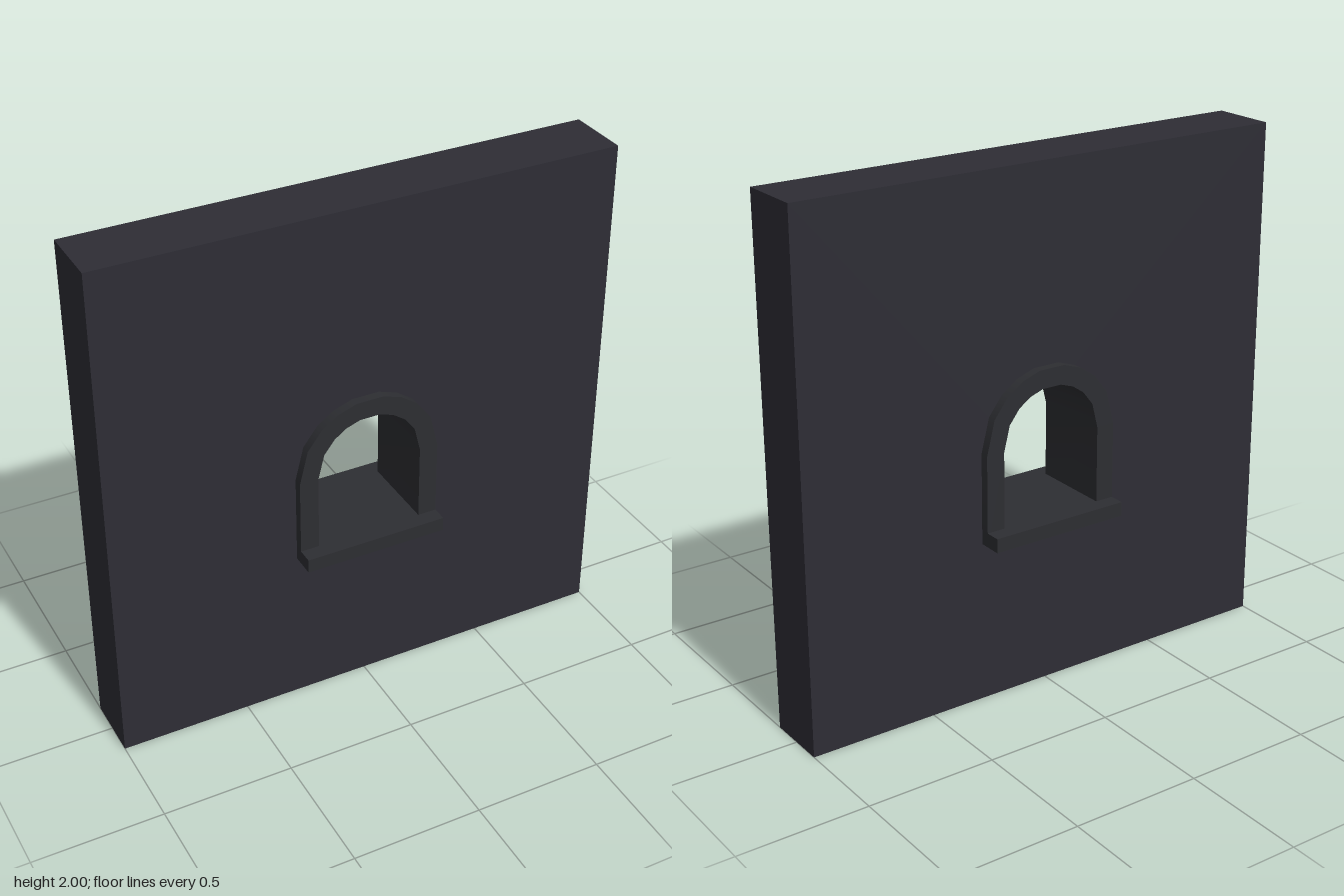
import * as THREE from 'three';
import { toCreasedNormals } from 'three/addons/utils/BufferGeometryUtils.js';

const WALL_DEPTH = 0.25, FRAME_DEPTH = 0.32, SILL_DEPTH = 0.44;
const SPRING_Y = 0.98, BASE_Y = 0.63, SILL_TOP = 0.685;
const OUTER_R = 0.28, INNER_R = 0.207;

// Round-headed outline: straight jambs below a faceted half circle
function archPoints(radius, bottom) {
  const quarter = [0, 28, 47, 63, 79];
  const angles = [...quarter, ...quarter.map((a) => 180 - a).reverse()];
  const head = angles.map((a) => {
    const t = THREE.MathUtils.degToRad(a);
    return new THREE.Vector2(radius * Math.cos(t), SPRING_Y + radius * Math.sin(t));
  });
  return [new THREE.Vector2(radius, bottom), ...head, new THREE.Vector2(-radius, bottom)];
}

// Extrude a shape centred on z = 0, smooth around the arch, sharp at the edges
function slab(shape, depth) {
  const geometry = new THREE.ExtrudeGeometry(shape, { depth, bevelEnabled: false });
  geometry.translate(0, 0, -depth / 2);
  return toCreasedNormals(geometry, 0.6);
}

export function createModel() {
  const group = new THREE.Group();
  group.name = 'wallWithArchedWindow';
  const stone = new THREE.MeshStandardMaterial({ color: 0x2e2d35 });
  const trim = new THREE.MeshStandardMaterial({ color: 0x2d2e32 });

  const add = (name, geometry, material) => {
    const mesh = new THREE.Mesh(geometry, material);
    mesh.name = name;
    group.add(mesh);
    return mesh;
  };

  // Square wall, cut to receive the window surround
  const wall = new THREE.Shape([
    new THREE.Vector2(-1, 0), new THREE.Vector2(1, 0),
    new THREE.Vector2(1, 2), new THREE.Vector2(-1, 2),
  ]);
  wall.holes.push(new THREE.Path(archPoints(OUTER_R, BASE_Y)));
  add('wall', slab(wall, WALL_DEPTH), stone);

  // Arched surround lining the opening and standing proud on both faces
  const surround = new THREE.Shape([
    ...archPoints(OUTER_R, BASE_Y),
    ...archPoints(INNER_R, BASE_Y).reverse(),
  ]);
  add('archSurround', slab(surround, FRAME_DEPTH), trim);

  // Sill running through the opening and projecting on both faces
  const sill = add('sill', new THREE.BoxGeometry(2 * OUTER_R, SILL_TOP - BASE_Y, SILL_DEPTH), trim);
  sill.position.y = (SILL_TOP + BASE_Y) / 2;

  return group;
}
